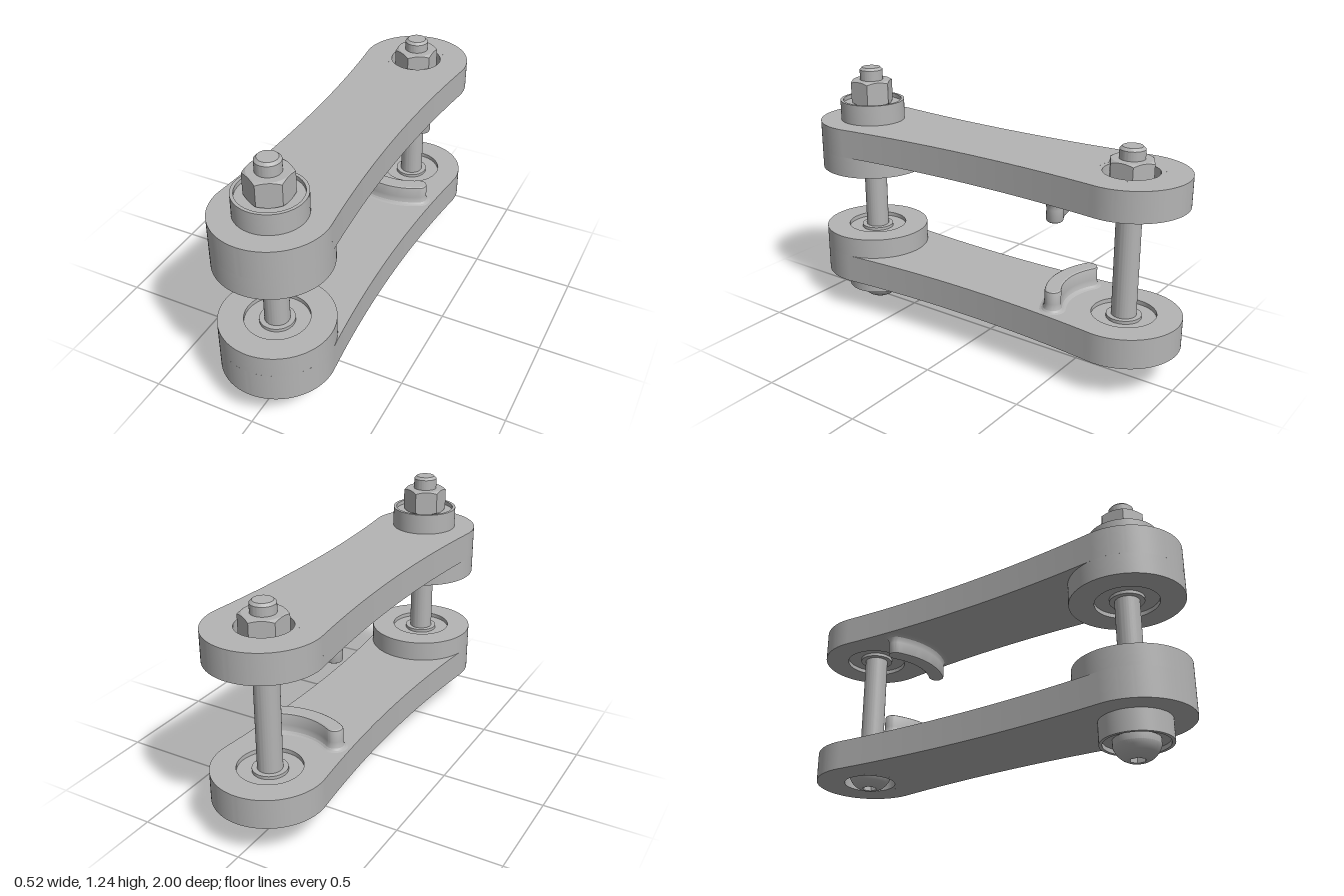
import * as THREE from 'three';
import { toCreasedNormals } from 'three/addons/utils/BufferGeometryUtils.js';

const steel = new THREE.MeshStandardMaterial({ color: 0xb4b4b4 });
steel.name = 'steel grey';

const PIN_Z = 0.738, END_R = 0.262, BORE_R = 0.147, PIN_R = 0.057;

function mesh(name, geometry, crease = 0.4) {
  const m = new THREE.Mesh(toCreasedNormals(geometry, crease), steel);
  m.name = name;
  return m;
}

// Turned part from [radius, height] pairs, listed anticlockwise
const turned = (name, points, segments = 64) =>
  mesh(name, new THREE.LatheGeometry(points.map(([r, y]) => new THREE.Vector2(r, y)), segments));

// Flat shape in plan, extruded upwards
function slab(name, shape, height, y = 0) {
  const g = new THREE.ExtrudeGeometry(shape, { depth: height, bevelEnabled: false, curveSegments: 48 });
  return mesh(name, g.rotateX(-Math.PI / 2).translate(0, y, 0));
}

// Skin over stacked loops of equal length, closed at both ends
function loft(name, loops) {
  const n = loops[0].length, pos = loops.flat().flatMap((p) => [p.x, p.y, p.z]), idx = [];
  for (let k = 0; k < loops.length - 1; k++) {
    for (let i = 0; i < n; i++) {
      const a = k * n + i, b = k * n + (i + 1) % n;
      idx.push(a, b, b + n, a, b + n, a + n);
    }
  }
  const cap = (loop) => THREE.ShapeUtils.triangulateShape(loop.map((p) => new THREE.Vector2(p.x, -p.z)), []);
  const last = (loops.length - 1) * n;
  cap(loops[0]).forEach(([a, b, c]) => idx.push(a, c, b));
  cap(loops[loops.length - 1]).forEach(([a, b, c]) => idx.push(last + a, last + b, last + c));
  const g = new THREE.BufferGeometry();
  g.setAttribute('position', new THREE.Float32BufferAttribute(pos, 3));
  g.setIndex(idx);
  return mesh(name, g);
}

function circleHole(r, y) {
  return new THREE.Path().absarc(0, y, r, 0, Math.PI * 2, true);
}

// Waisted outline: two round ends joined by shallow concave sides
function armOutline() {
  const waist = 0.22, sideR = 6.24, a = Math.atan2(PIN_Z, sideR + waist), cx = sideR + waist;
  const s = new THREE.Shape();
  s.absarc(0, PIN_Z, END_R, -a, Math.PI + a, false);
  s.absarc(-cx, 0, sideR, a, -a, true);
  s.absarc(0, -PIN_Z, END_R, Math.PI - a, Math.PI * 2 + a, false);
  s.absarc(cx, 0, sideR, Math.PI + a, Math.PI - a, true);
  s.holes.push(circleHole(BORE_R, PIN_Z), circleHole(BORE_R, -PIN_Z));
  return s;
}

// Curved stop concentric with the rear pin, flared at its foot
function stopRib() {
  const R = 0.32, half = 0.53, steps = 14;
  const loopAt = (y, w) => {
    const pts = [];
    const add = (x, z) => pts.push(new THREE.Vector3(x, y, z - PIN_Z));
    const arc = (r, from, to) => {
      for (let i = 0; i < steps; i++) {
        const f = from + (to - from) * i / steps;
        add(r * Math.sin(f), r * Math.cos(f));
      }
    };
    const end = (f, start) => {
      for (let i = 0; i < steps; i++) {
        const t = start + Math.PI * i / steps;
        add(R * Math.sin(f) + w * Math.sin(t), R * Math.cos(f) + w * Math.cos(t));
      }
    };
    arc(R + w, -half, half);
    end(half, half);
    arc(R - w, half, -half);
    end(-half, Math.PI - half);
    return pts;
  };
  const levels = [[0.135, 0.06], [0.14, 0.06], [0.144, 0.05], [0.152, 0.043], [0.165, 0.039],
    [0.18, 0.038], [0.23, 0.038], [0.236, 0.036], [0.24, 0.03]];
  return loft('stopRib', levels.map(([y, w]) => loopAt(y, w)));
}

// Arm with its outer face at y = 0 and its inner side up
function arm(name) {
  const g = new THREE.Group();
  g.name = name;
  g.add(slab('armPlate', armOutline(), 0.14));

  const bossShape = new THREE.Shape().absarc(0, -PIN_Z, END_R, 0, Math.PI * 2, false);
  bossShape.holes.push(circleHole(BORE_R, -PIN_Z));
  g.add(slab('frontBoss', bossShape, 0.1, 0.14));

  // Bearings sit just below the inner faces, each with a raised collar
  const bearing = (label, top, pocketR, pocketDepth, z) => {
    const b = turned(label, [[BORE_R, 0], [BORE_R, top - 0.02], [0.08, top - 0.02], [0.08, top - 0.005],
      [PIN_R, top - 0.005], [PIN_R, pocketDepth], [pocketR, pocketDepth], [pocketR, 0], [BORE_R, 0]]);
    b.position.z = z;
    return b;
  };
  g.add(bearing('frontBearing', 0.24, 0.125, 0.02, PIN_Z));
  g.add(bearing('rearBearing', 0.14, 0.125, 0.062, -PIN_Z));

  const spacer = turned('spacer', [[0.145, -0.1], [0.16, -0.1], [0.16, 0], [PIN_R, 0],
    [PIN_R, -0.08], [0.145, -0.08], [0.145, -0.1]]);
  spacer.position.z = PIN_Z;
  g.add(spacer, stopRib());
  return g;
}

// Hex nut with corners chamfered at both ends
function hexNut(height) {
  const flat = 0.093, n = 72;
  const ring = (f) => Array.from({ length: n }, (_, i) => {
    const t = i / n * Math.PI * 2, sector = Math.PI / 3;
    const hexR = flat / Math.cos((t % sector) - sector / 2);
    const [r, y] = f(hexR, (hexR - flat + 0.003) * 0.6);
    return new THREE.Vector3(r * Math.sin(t), y, r * Math.cos(t));
  });
  return loft('nut', [
    ring(() => [flat - 0.003, 0]), ring((r, drop) => [r, drop]),
    ring((r, drop) => [r, height - drop]), ring(() => [flat - 0.003, height]),
  ]);
}

// Button head bolt, head down, with a hex socket and a nut near the tip
function bolt(name, z, bottom, tip, nutTop) {
  const g = new THREE.Group();
  g.name = name;
  const length = tip - bottom;
  g.add(turned('boltHead', [[0.05, 0], [0.068, 0.01], [0.084, 0.025], [0.096, 0.043],
    [0.103, 0.06], [0.103, 0.09], [0, 0.09]]));

  const face = new THREE.Shape().absarc(0, 0, 0.05, 0, Math.PI * 2, false);
  const hex = Array.from({ length: 6 }, (_, i) =>
    new THREE.Vector2(0.036 * Math.sin(i * Math.PI / 3), 0.036 * Math.cos(i * Math.PI / 3)));
  face.holes.push(new THREE.Path(hex));
  g.add(slab('hexSocket', face, 0.04));

  g.add(turned('shaft', [[0, 0.04], [PIN_R, 0.04], [PIN_R, length - 0.012], [0.045, length], [0, length]]));
  const nut = hexNut(0.12);
  nut.position.y = nutTop - 0.12 - bottom;
  g.add(nut);
  g.position.set(0, bottom, z);
  return g;
}

export function createModel() {
  const model = new THREE.Group();
  model.name = 'pinnedLinkage';

  const lower = arm('lowerArm');
  lower.position.y = 0.172;
  const upper = arm('upperArm');
  upper.rotation.z = Math.PI;
  upper.position.y = 0.98;

  model.add(lower, upper);
  model.add(bolt('frontBolt', PIN_Z, 0, 1.243, 1.18));
  model.add(bolt('rearBolt', -PIN_Z, 0.145, 1.092, 1.038));
  return model;
}
